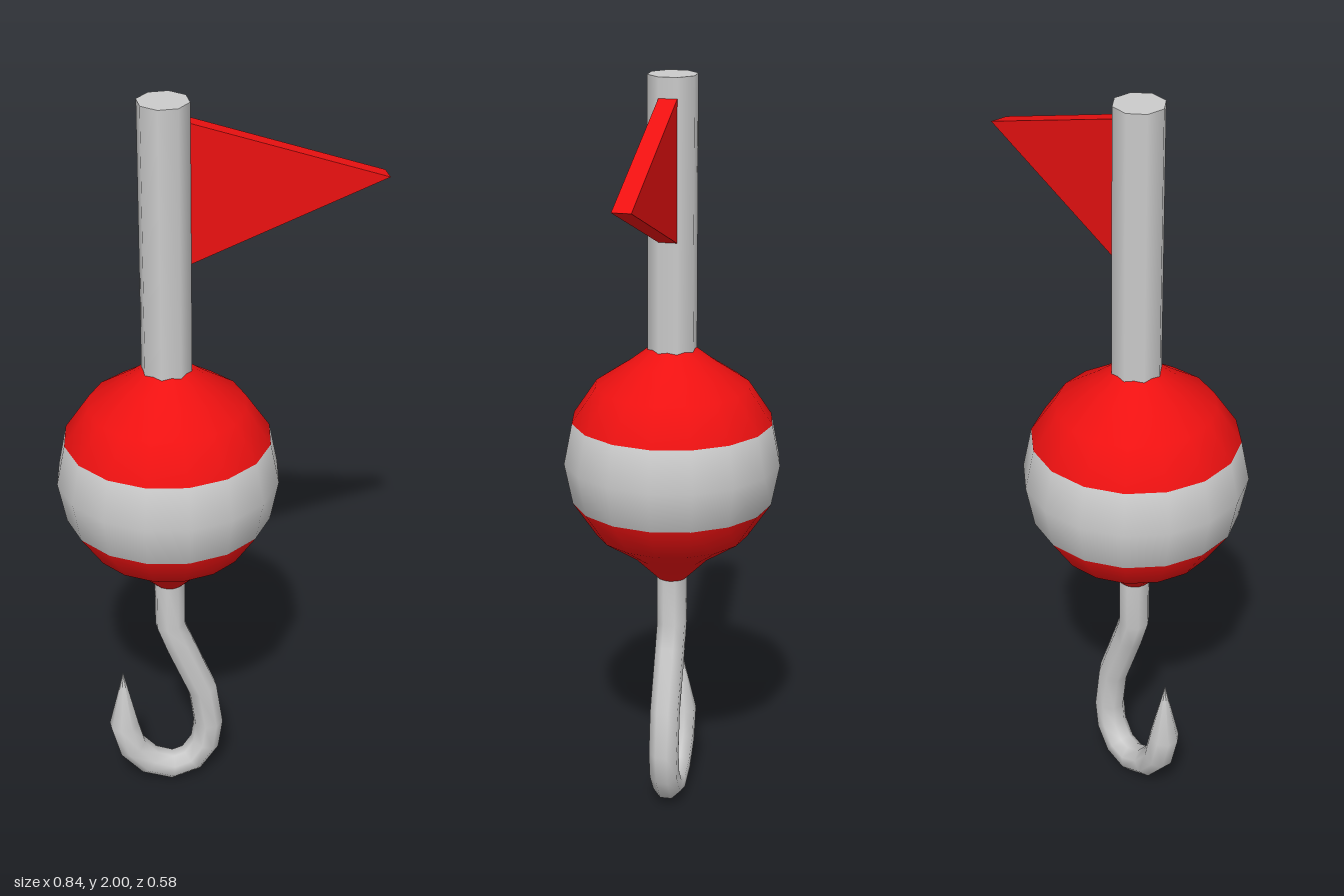
import * as THREE from 'three';

const GREY = 0xcccccc, RED = 0xee1111;
const AXIS_X = -0.135;

function addMesh(parent, name, geometry, color) {
  const mesh = new THREE.Mesh(geometry, new THREE.MeshStandardMaterial({ color }));
  mesh.name = name;
  parent.add(mesh);
  return mesh;
}

// Float: one smooth lathe, split into colour bands that share its normals
function addFloat(parent) {
  const sides = 16, radius = 0.288, centreY = 0.99;
  const profile = [new THREE.Vector2(0.04, 0.655)];
  for (let i = -3; i <= 3; i++) {
    const a = i * Math.PI / 8;
    profile.push(new THREE.Vector2(radius * Math.cos(a), centreY + radius * Math.sin(a)));
  }
  profile.push(new THREE.Vector2(0.06, 1.295));
  const lathe = new THREE.LatheGeometry(profile, sides);
  const rows = profile.length - 1;
  const all = Array.from(lathe.index.array);

  const float = new THREE.Group();
  float.name = 'float';
  float.position.x = AXIS_X;
  parent.add(float);
  const bands = [['floatBottom', 0, 3, RED], ['floatMiddle', 3, 5, GREY], ['floatTop', 5, rows, RED]];
  for (const [name, from, to, color] of bands) {
    const band = lathe.clone();
    const index = [];
    for (let s = 0; s < sides; s++) {
      index.push(...all.slice((s * rows + from) * 6, (s * rows + to) * 6));
    }
    band.setIndex(index);
    addMesh(float, name, band, color);
  }
}

// Hook: octagonal rings swept along a path in the xy plane, tapering to a point
function hookGeometry() {
  const sides = 8, r = 0.041;
  const path = [
    [-0.135, 0.67], [-0.135, 0.52], [-0.11, 0.45], [-0.048, 0.293],
    [-0.032, 0.177], [-0.042, 0.108], [-0.08, 0.056], [-0.135, 0.041],
    [-0.198, 0.068], [-0.246, 0.124], [-0.267, 0.204], [-0.267, 0.375],
  ].map(([x, y]) => new THREE.Vector2(x, y));
  const last = path.length - 1;
  const positions = [], index = [];
  path.forEach((p, i) => {
    const t = path[Math.min(i + 1, last)].clone().sub(path[Math.max(i - 1, 0)]).normalize();
    const radius = i === last ? 0 : r;
    for (let k = 0; k < sides; k++) {
      const a = (k + 0.5) * 2 * Math.PI / sides;
      const c = radius * Math.cos(a);
      positions.push(p.x - t.y * c, p.y + t.x * c, radius * Math.sin(a));
      if (i < last) {
        const k2 = (k + 1) % sides;
        const A = i * sides + k, B = i * sides + k2;
        index.push(A, B, A + sides, B, B + sides, A + sides);
      }
    }
  });
  const geometry = new THREE.BufferGeometry();
  geometry.setAttribute('position', new THREE.Float32BufferAttribute(positions, 3));
  geometry.setIndex(index);
  geometry.computeVertexNormals();
  return geometry;
}

export function createModel() {
  const model = new THREE.Group();
  model.name = 'fishingFloat';

  addFloat(model);
  addMesh(model, 'hook', hookGeometry(), GREY);

  // Eight-sided pole with flats facing the axes
  const pole = addMesh(model, 'pole', new THREE.CylinderGeometry(0.065, 0.065, 0.72, 8), GREY);
  pole.rotation.y = Math.PI / 8;
  pole.position.set(AXIS_X, 1.64, 0);

  // Triangular pennant
  const depth = 0.048;
  const shape = new THREE.Shape([
    new THREE.Vector2(-0.078, 1.583),
    new THREE.Vector2(0.42, 1.767),
    new THREE.Vector2(-0.078, 1.948),
  ]);
  const flag = addMesh(model, 'flag',
    new THREE.ExtrudeGeometry(shape, { depth, bevelEnabled: false }), RED);
  flag.position.z = -depth / 2;

  return model;
}
